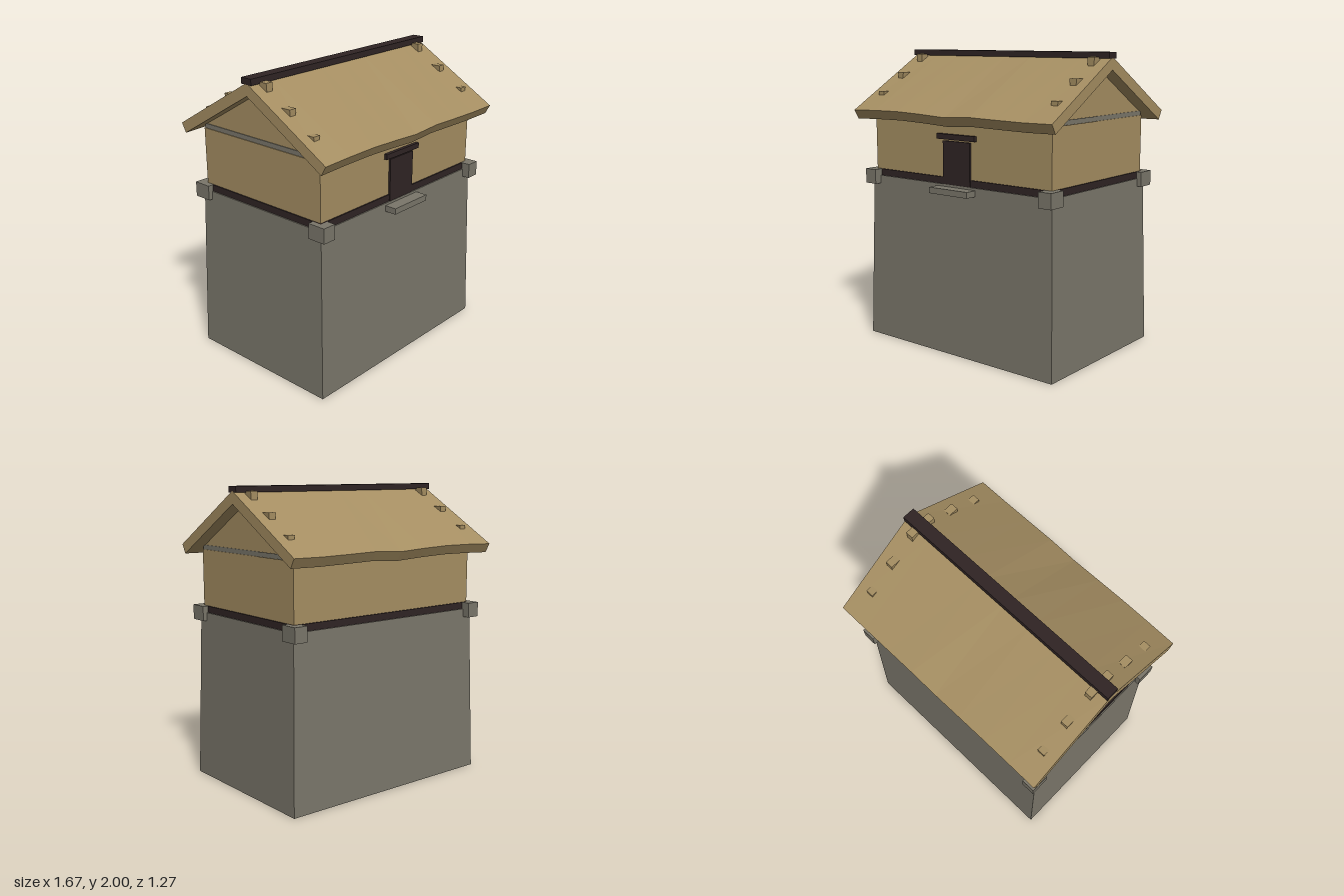
import * as THREE from 'three';

export function createModel() {
  const model = new THREE.Group();
  const mat = (name, color, side = THREE.FrontSide) => {
    const m = new THREE.MeshStandardMaterial({ color, side });
    m.name = name;
    return m;
  };
  const plaster = mat('tan plaster', 0xa58e62);
  const stone = mat('grey stone', 0x7a766a, THREE.DoubleSide);
  const wood = mat('dark wood', 0x2f2424);

  const add = (name, geometry, material) => {
    const mesh = new THREE.Mesh(geometry, material);
    mesh.name = name;
    model.add(mesh);
    return mesh;
  };
  // Box given by its limits on each axis
  const box = (name, material, x0, x1, y0, y1, z0, z1) => {
    const mesh = add(name, new THREE.BoxGeometry(x1 - x0, y1 - y0, z1 - z0), material);
    mesh.position.set((x0 + x1) / 2, (y0 + y1) / 2, (z0 + z1) / 2);
    return mesh;
  };
  // Profile in (z, y) extruded along x, centred on x = 0
  const extrudeX = (points, length, steps = 1) => {
    const shape = new THREE.Shape(points.map(([z, y]) => new THREE.Vector2(-z, y)));
    const g = new THREE.ExtrudeGeometry(shape, { depth: length, steps, bevelEnabled: false });
    return g.translate(0, 0, -length / 2).rotateY(Math.PI / 2);
  };

  // Tapered stone tower, hollow and open underneath
  const H = 1.145;
  const tower = new THREE.BoxGeometry(2, H, 2).translate(0, H / 2, 0);
  const faces = Array.from(tower.index.array);
  faces.splice(18, 6);
  tower.setIndex(faces);
  const tp = tower.attributes.position;
  for (let i = 0; i < tp.count; i++) {
    const top = tp.getY(i) > H / 2;
    tp.setX(i, tp.getX(i) * (top ? 0.765 : 0.795));
    tp.setZ(i, tp.getZ(i) * (top ? 0.53 : 0.56));
  }
  const towerFlat = tower.toNonIndexed();
  towerFlat.computeVertexNormals();
  add('stoneTower', towerFlat, stone);

  // Floor band and corner stones
  box('floorBand', wood, -0.758, 0.758, H, 1.19, -0.522, 0.522);
  for (const sx of [-1, 1]) {
    for (const sz of [-1, 1]) {
      const c = box('cornerStone', stone, -0.0475, 0.0475, 1.09, 1.19, -0.0635, 0.0635);
      c.position.x = sx * 0.7475;
      c.position.z = sz * 0.5185;
    }
  }

  // House walls, ceiling beam and gable
  box('houseWalls', plaster, -0.75, 0.75, 1.19, 1.57, -0.513, 0.513);
  box('ceilingBeam', stone, -0.745, 0.745, 1.57, 1.6, -0.51, 0.51);
  add('gable', extrudeX([[0.52, 1.6], [0, 1.895], [-0.52, 1.6]], 1.48), plaster);

  // Doorway
  box('door', wood, -0.115, 0.115, H, 1.43, 0.5, 0.527);
  box('lintel', wood, -0.163, 0.163, 1.44, 1.475, 0.5, 0.536);
  box('doorStep', stone, -0.163, 0.163, 1.09, 1.13, 0.5, 0.612);

  // Roof slab with gently uneven eaves
  const wave = [0, 0.007, 0.01, 0.004, -0.006, 0.007, 0.003, 0, 0.003];
  const half = 0.835;
  const roof = extrudeX([
    [0, 1.97], [0.636, 1.598], [0.601, 1.537],
    [0, 1.889], [-0.601, 1.537], [-0.636, 1.598],
  ], 2 * half, wave.length - 1);
  const rp = roof.attributes.position;
  for (let i = 0; i < rp.count; i++) {
    if (Math.abs(rp.getZ(i)) < 0.3) continue;
    const k = Math.round((rp.getX(i) + half) / (2 * half) * (wave.length - 1));
    rp.setY(i, rp.getY(i) + wave[k]);
  }
  roof.computeVertexNormals();
  add('roof', roof, plaster);
  box('ridgeBeam', wood, -half, half, 1.96, 2, -0.042, 0.042);

  // Roof pegs: [inner z, outer z, bottom y, top y], narrowing downwards
  const pegs = [[0.03, 0.094, 1.9, 1.97], [0.218, 0.285, 1.79, 1.845], [0.42, 0.475, 1.68, 1.721]];
  for (const sx of [-1, 1]) {
    for (const sz of [-1, 1]) {
      for (const [z0, z1, y0, y1] of pegs) {
        const peg = box('roofPeg', plaster, -0.026, 0.026, y0, y1, z0, z1);
        const pp = peg.geometry.attributes.position;
        for (let i = 0; i < pp.count; i++) if (pp.getY(i) < 0) pp.setX(i, pp.getX(i) * 0.82);
        peg.geometry.computeVertexNormals();
        peg.position.x = sx * 0.735;
        peg.position.z *= sz;
      }
    }
  }
  return model;
}
